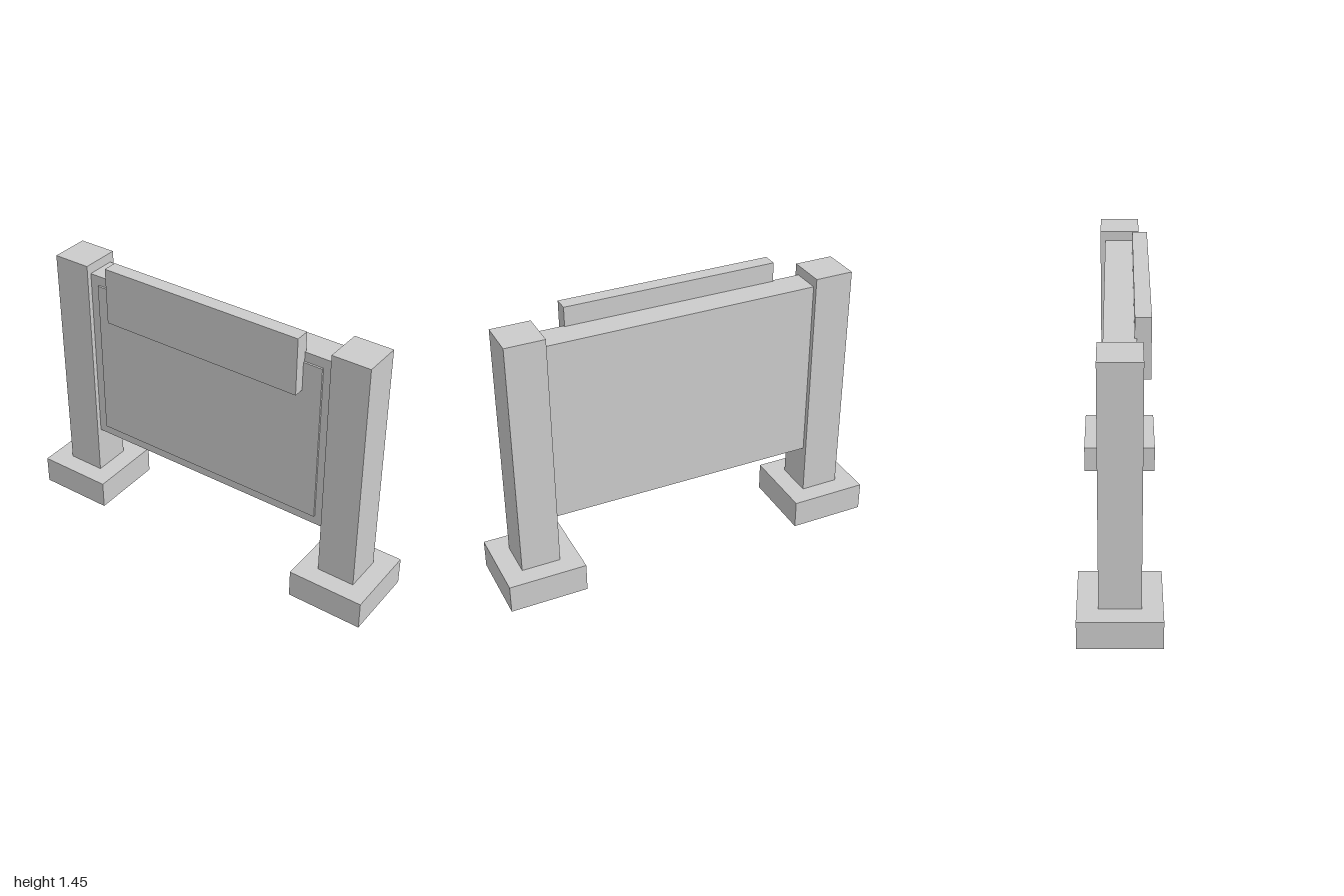
import * as THREE from 'three';

export function createModel() {
  const group = new THREE.Group();
  const material = new THREE.MeshStandardMaterial({ color: 0xcccccc, flatShading: true });

  // Box given by its centre x, and its y and z ranges
  function box(name, x, width, [y0, y1], [z0, z1]) {
    const mesh = new THREE.Mesh(new THREE.BoxGeometry(width, y1 - y0, z1 - z0), material);
    mesh.position.set(x, (y0 + y1) / 2, (z0 + z1) / 2);
    mesh.name = name;
    group.add(mesh);
  }

  // Posts standing on square footings
  for (const [side, s] of [['left', 1], ['right', -1]]) {
    box(`${side}Footing`, s * 0.8, 0.4, [0, 0.15], [-0.2, 0.2]);
    box(`${side}Post`, s * 0.8, 0.2, [0.15, 1.4], [-0.1, 0.1]);
  }

  // Board between the posts, with a thin raised face
  box('board', 0, 1.4, [0.4, 1.35], [-0.075, 0.075]);
  box('boardFace', 0, 1.3, [0.45, 1.3], [0.065, 0.085]);

  // Header plate across the top front
  box('headerPlate', 0, 1.1, [1.15, 1.45], [0.065, 0.14]);

  return group;
}
